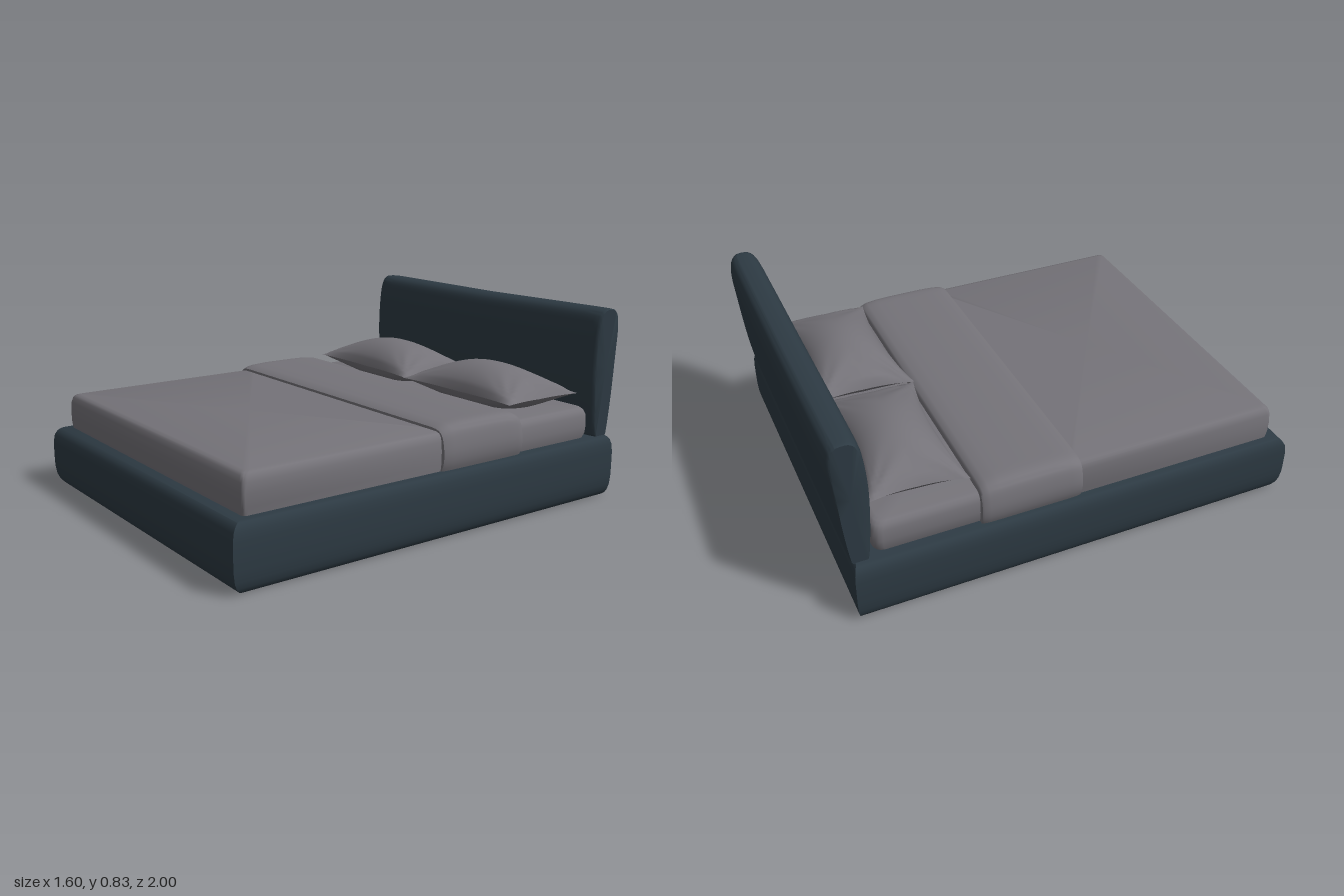
import * as THREE from 'three';
import { toCreasedNormals } from 'three/addons/utils/BufferGeometryUtils.js';

// Skins closed rings of points and caps both ends
function loft(rings, crease = 0.7) {
  const n = rings[0].length, pos = [], idx = [];
  rings.forEach((r) => r.forEach((p) => pos.push(...p)));
  for (let i = 0; i < rings.length - 1; i++) {
    for (let j = 0; j < n; j++) {
      const a = i * n + j, b = i * n + (j + 1) % n;
      idx.push(a, b, b + n, a, b + n, a + n);
    }
  }
  const cap = (ring, start, flip) => {
    const c = pos.length / 3;
    for (let k = 0; k < 3; k++) pos.push(ring.reduce((s, p) => s + p[k], 0) / n);
    for (let j = 0; j < n; j++) {
      const a = start + j, b = start + (j + 1) % n;
      idx.push(c, flip ? b : a, flip ? a : b);
    }
  };
  cap(rings[0], 0, true);
  cap(rings[rings.length - 1], (rings.length - 1) * n, false);
  const g = new THREE.BufferGeometry();
  g.setAttribute('position', new THREE.Float32BufferAttribute(pos, 3));
  g.setIndex(idx);
  return toCreasedNormals(g, crease);
}

// Horizontal slab: profile is [y, inset]; insets scale per side; r rounds the upright corners
function slab(hx, zBack, zFront, profile, r = 0, side = 1, back = 1) {
  return loft(profile.map(([y, inset]) => {
    const x = hx - inset * side, zf = zFront - inset, zb = zBack + inset * back;
    const corners = [[-1, zf, 1], [1, zf, 1], [1, zb, -1], [-1, zb, -1]];
    if (!r) return corners.map(([sx, z]) => [sx * x, y, z]);
    const ring = [];
    corners.forEach(([sx, z, sz], q) => {
      for (let k = 0; k <= 4; k++) {
        const a = Math.PI - (q * 4 + k) * Math.PI / 8;
        ring.push([sx * (x - r) + r * Math.cos(a), y, z - sz * r + r * Math.sin(a)]);
      }
    });
    return ring;
  }));
}

// Pillow: two grids stretched between four corners, pinched at the edges and puffed in the middle
function pillowHalf(corners, top, seed) {
  const g = new THREE.PlaneGeometry(2, 2, 40, 28).rotateX(top ? -Math.PI / 2 : Math.PI / 2);
  const p = g.attributes.position;
  const [bl, br, fr, fl] = corners;
  const cx = (bl[0] + br[0] + fr[0] + fl[0]) / 4, cz = (bl[1] + br[1] + fr[1] + fl[1]) / 4;
  for (let i = 0; i < p.count; i++) {
    const u = p.getX(i), v = p.getZ(i), s = (u + 1) / 2, t = (v + 1) / 2;
    const mix = (k) => (1 - t) * ((1 - s) * bl[k] + s * br[k]) + t * ((1 - s) * fl[k] + s * fr[k]);
    const u2 = Math.max(0, 1 - u * u), v2 = Math.max(0, 1 - v * v);
    const x = cx + (mix(0) - cx) * (1 - 0.09 * v2);
    const z = cz + (mix(1) - cz) * (1 - 0.15 * u2);
    const puff = Math.pow(u2 * v2, 0.62);
    // Creases fan out from the corners and fade towards the middle
    const fan = Math.atan2(1.001 - Math.abs(v), 1.001 - Math.abs(u));
    const fold = 0.007 * Math.sin(fan * 13 + seed + u * 2) * Math.pow(Math.abs(u), 3) * Math.min(1, puff * 4);
    const seam = 0.455 + 0.006 * Math.abs(u * v);
    const y = top ? seam + 0.118 * puff + fold : Math.max(0.402, seam - 0.085 * puff);
    p.setXYZ(i, x, y, z);
  }
  g.computeVertexNormals();
  return g;
}

export function createModel() {
  const bed = new THREE.Group();
  bed.name = 'bed';
  const upholstery = new THREE.MeshStandardMaterial({ color: 0x2d3a43 });
  upholstery.name = 'dark slate upholstery';
  const linen = new THREE.MeshStandardMaterial({ color: 0x757379 });
  linen.name = 'grey linen';
  const add = (name, geometry, material, parent = bed) => {
    const m = new THREE.Mesh(geometry, material);
    m.name = name;
    parent.add(m);
  };

  // Padded base with mitred corners
  add('base', slab(0.8, -0.945, 1, [[0, 0.05], [0.008, 0.033], [0.025, 0.018], [0.05, 0.007], [0.09, 0.001],
    [0.13, 0], [0.2, 0], [0.235, 0.006], [0.255, 0.018], [0.265, 0.032], [0.27, 0.048]], 0, 0.6, 0.35), upholstery);

  // Mattress and the blanket over its foot
  add('mattress', slab(0.745, -0.85, 0.9, [[0.26, 0.012], [0.29, 0.002], [0.32, 0], [0.37, 0.001],
    [0.393, 0.009], [0.403, 0.02], [0.407, 0.035]], 0.04), linen);
  add('blanket', slab(0.755, -0.02, 0.932, [[0.26, 0.006], [0.3, 0.001], [0.35, 0], [0.39, 0.003],
    [0.412, 0.009], [0.422, 0.018], [0.427, 0.035]], 0.02, 1, 0), linen);

  // Turned-down fold: a bulging arch swept along z
  const half = new THREE.SplineCurve([[0.757, 0.26], [0.772, 0.3], [0.777, 0.35], [0.768, 0.41],
    [0.752, 0.44], [0.72, 0.454], [0.66, 0.456]].map(([x, y]) => new THREE.Vector2(x, y))).getPoints(18);
  const arch = [...half, ...half.slice().reverse().map((q) => new THREE.Vector2(-q.x, q.y))];
  const foldSteps = [[-0.412, 0.027, 0.008], [-0.405, 0.018, 0.004], [-0.38, 0.008, 0.001], [-0.33, 0.002, 0],
    [-0.25, 0, 0], [-0.1, 0, 0], [-0.03, 0.004, 0], [0.005, 0.01, 0.002], [0.02, 0.018, 0.006]];
  add('blanketFold', loft(foldSteps.map(([z, drop, inset]) => arch.map((q) =>
    [q.x - Math.sign(q.x) * inset, 0.26 + (q.y - 0.26) * (1 - drop / 0.196), z]))), linen);

  // Headboard: leaning cushion profile [z, y] swept along x, thinner at the ends
  const profile = new THREE.SplineCurve([[-0.965, 0.83], [-0.935, 0.833], [-0.9, 0.829], [-0.872, 0.805],
    [-0.853, 0.74], [-0.841, 0.6], [-0.845, 0.45], [-0.857, 0.31], [-0.868, 0.268], [-0.9, 0.265], [-0.938, 0.268],
    [-0.952, 0.31], [-0.973, 0.45], [-0.991, 0.63], [-1, 0.745], [-0.99, 0.805], [-0.967, 0.829]]
    .map(([z, y]) => new THREE.Vector2(z, y))).getPoints(64);
  const ends = [[0.76, 0.78], [0.757, 0.84], [0.745, 0.91], [0.72, 0.96], [0.66, 0.985], [0.4, 0.997]];
  const spans = [...ends.map(([x, k]) => [-x, k]), [0, 1], ...ends.slice().reverse()];
  add('headboard', loft(spans.map(([x, k]) => profile.map((q) => {
    const sag = 0.007 * (1 - Math.abs(x) / 0.76) * (q.y - 0.265) / 0.565;
    const edge = q.y > 0.7 ? (1 - k) * 0.02 : 0;
    return [x, q.y - sag - edge, -0.925 + (q.x + 0.925) * k];
  }))), upholstery);

  // Two pillows; corners run back right, back left, front left, front right
  const pillows = [
    ['rightPillow', [[-0.67, -0.835], [0.015, -0.815], [0, -0.41], [-0.695, -0.43]], 0.5],
    ['leftPillow', [[0.015, -0.825], [0.69, -0.825], [0.685, -0.415], [-0.005, -0.405]], 2.1],
  ];
  for (const [name, corners, seed] of pillows) {
    const pillow = new THREE.Group();
    pillow.name = name;
    add('pillowTop', pillowHalf(corners, true, seed), linen, pillow);
    add('pillowUnderside', pillowHalf(corners, false, seed), linen, pillow);
    bed.add(pillow);
  }
  return bed;
}
